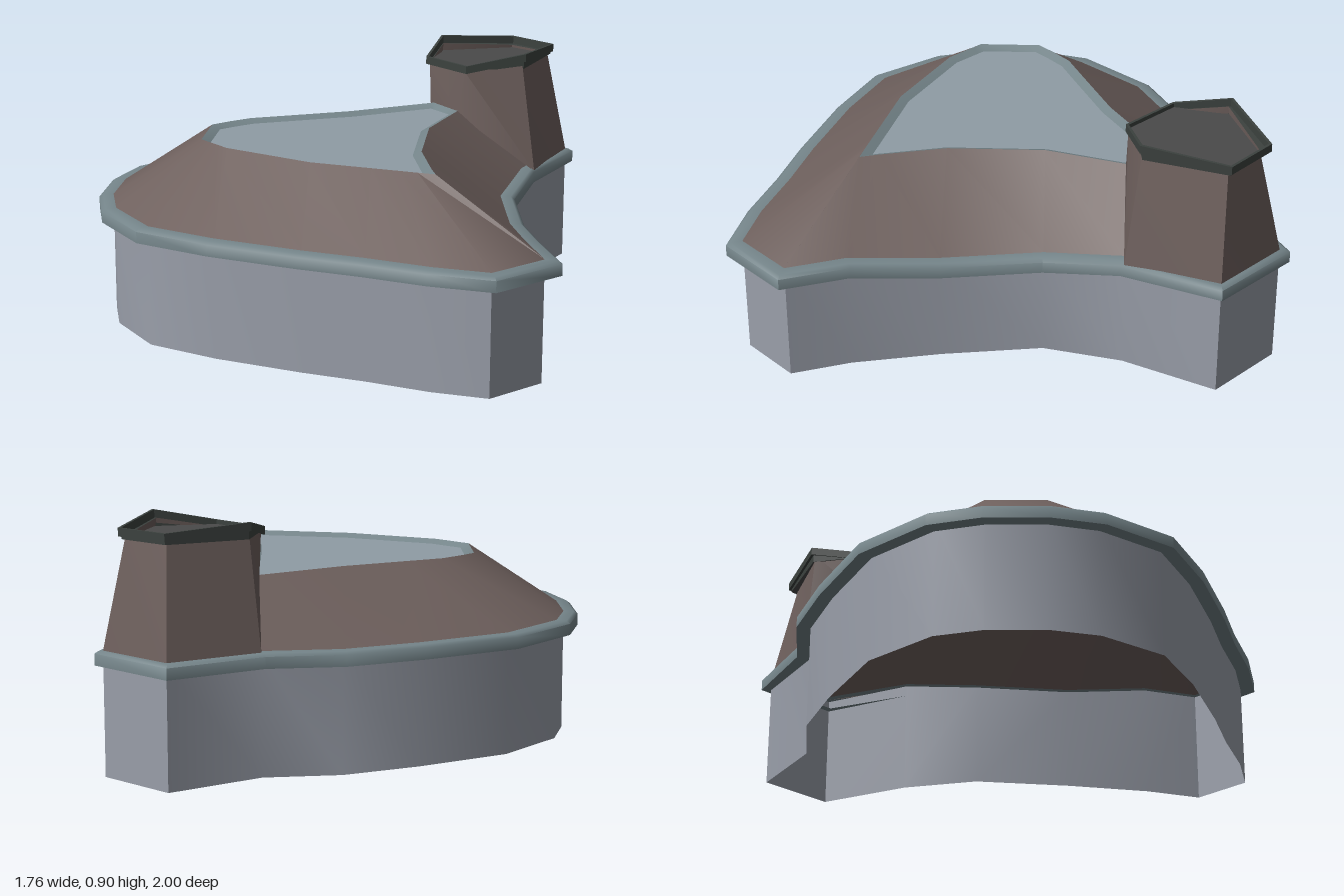
import * as THREE from 'three';
import { toCreasedNormals } from 'three/addons/utils/BufferGeometryUtils.js';

// Plan outlines as [x, z], running clockwise seen from above
const EAVE = [
  [0.62, -1.0], [0.88, -0.75], [0.735, -0.4], [0.67, -0.125], [0.72, 0.23], [0.785, 0.545], [0.87, 0.785],
  [0.655, 1.0], [0.42, 0.955], [0.185, 0.88], [-0.045, 0.82], [-0.375, 0.715], [-0.65, 0.59], [-0.83, 0.35],
  [-0.885, 0.15], [-0.885, -0.08], [-0.83, -0.275], [-0.61, -0.52], [-0.27, -0.69], [0.01, -0.8], [0.29, -0.825],
];
const RIDGE = [
  [0.36, -0.503], [0.4, -0.456], [0.43, -0.42], [0.34, -0.125], [0.34, 0.23], [0.395, 0.47], [0.415, 0.54],
  [0.35, 0.525], [0.28, 0.508], [0.18, 0.484], [-0.045, 0.43], [-0.375, 0.265], [-0.43, 0.21], [-0.46, 0.18],
  [-0.49, 0.15], [-0.49, -0.08], [-0.43, -0.14], [-0.36, -0.2], [-0.22, -0.26], [0.01, -0.36], [0.325, -0.545],
];
// Chimney cap corners as [x, y, z]; the rim is folded along one diagonal
const CAP = [
  [0.625, 0.88, -0.91], [0.79, 0.88, -0.765], [0.69, 0.9, -0.455],
  [0.46, 0.855, -0.41], [0.29, 0.855, -0.58], [0.335, 0.9, -0.79],
];

const mat = (color) => new THREE.MeshStandardMaterial({ color, side: THREE.DoubleSide });
const wallMat = mat(0x9a9faa), trimMat = mat(0x75858a), roofMat = mat(0x6e605d);
const panelMat = mat(0x8f9ca5), capMat = mat(0x4a4a4a), rimMat = mat(0x3c423f);

// Move a closed outline inward by d, mitred at the corners
function inset(loop, d) {
  const n = loop.length;
  return loop.map(([x, z], i) => {
    const [px, pz] = loop[(i + n - 1) % n], [qx, qz] = loop[(i + 1) % n];
    const a = new THREE.Vector2(pz - z, x - px).normalize();
    const b = new THREE.Vector2(z - qz, qx - x).normalize();
    const m = a.clone().add(b).normalize();
    const k = d / Math.max(0.5, m.dot(a));
    return [x + m.x * k, z + m.y * k];
  });
}

// Lift an outline to height y, sagging along the hollow side by 'sag'
const lift = (loop, y, sag = 0) =>
  loop.map(([x, z], i) => [x, y - (i === 3 || i === 4 ? sag : 0), z]);

// Skin between closed rings, listed from the top down
function loft(rings, crease = 0.6) {
  const n = rings[0].length, index = [];
  for (let r = 0; r < rings.length - 1; r++) {
    for (let i = 0; i < n; i++) {
      const j = (i + 1) % n, a = r * n, b = a + n;
      index.push(b + i, a + i, a + j, b + i, a + j, b + j);
    }
  }
  const g = new THREE.BufferGeometry();
  g.setAttribute('position', new THREE.Float32BufferAttribute(rings.flat(2), 3));
  g.setIndex(index);
  return toCreasedNormals(g, crease);
}

// Flat upward-facing plate filling an outline
function plate(loop, y) {
  const g = new THREE.ShapeGeometry(new THREE.Shape(loop.map(([x, z]) => new THREE.Vector2(x, -z))));
  return g.rotateX(-Math.PI / 2).translate(0, y, 0);
}

export function createModel() {
  const model = new THREE.Group();
  const add = (name, geometry, material, parent = model) => {
    const mesh = new THREE.Mesh(geometry, material);
    mesh.name = name;
    parent.add(mesh);
  };
  const SAG = 0.035;

  // Walls, open underneath; the two back corners step out under the chimney
  const wall = inset(EAVE, 0.053);
  wall[0] = [0.622, -0.962];
  wall[1] = [0.85, -0.747];
  add('walls', loft([lift(wall, 0.44, SAG), lift(wall, 0)], 0.75), wallMat);

  // Eave trim band
  const lip = inset(EAVE, 0.053);
  add('eaveTrim', loft([
    lift(lip, 0.45, SAG),
    lift(inset(EAVE, 0.014), 0.45, SAG),
    lift(EAVE, 0.44, SAG),
    lift(EAVE, 0.398, SAG),
    lift(lip, 0.398, SAG),
  ], 1.0), trimMat);

  // Sloping roof, recessed frame and flat panel
  const frame = inset(RIDGE, 0.032);
  add('roof', loft([lift(RIDGE, 0.675), lift(lip, 0.45, SAG)]), roofMat);
  add('panelFrame', loft([lift(frame, 0.66), lift(RIDGE, 0.675)]), trimMat);
  add('roofPanel', plate(frame, 0.66), panelMat);

  // Chimney: tapered body rising out of the back corner of the roof
  const chimney = new THREE.Group();
  chimney.name = 'chimney';
  model.add(chimney);
  const base = [
    [0.622, 0.45, -0.962], [0.85, 0.45, -0.747], [0.735, 0.44, -0.412],
    [0.43, 0.66, -0.415], [0.312, 0.66, -0.56], [0.305, 0.45, -0.8],
  ];
  const top = [
    [0.62, 0.85, -0.87], [0.765, 0.85, -0.755], [0.675, 0.87, -0.465],
    [0.455, 0.83, -0.42], [0.305, 0.83, -0.58], [0.345, 0.87, -0.775],
  ];
  add('chimneyBody', loft([top, base], 0.9), roofMat, chimney);

  // Cap: folded rim around a sunken floor
  const plan = inset(CAP.map(([x, , z]) => [x, z]), 0.01);
  const floor = lift(plan, 0.84);
  add('capRim', loft([
    floor,
    CAP.map(([, y], i) => [plan[i][0], y, plan[i][1]]),
    CAP,
    CAP.map(([x, y, z]) => [x, y - 0.03, z]),
    top,
  ], 0.5), rimMat, chimney);
  add('capFloor', plate(plan, 0.84), capMat, chimney);

  return model;
}
